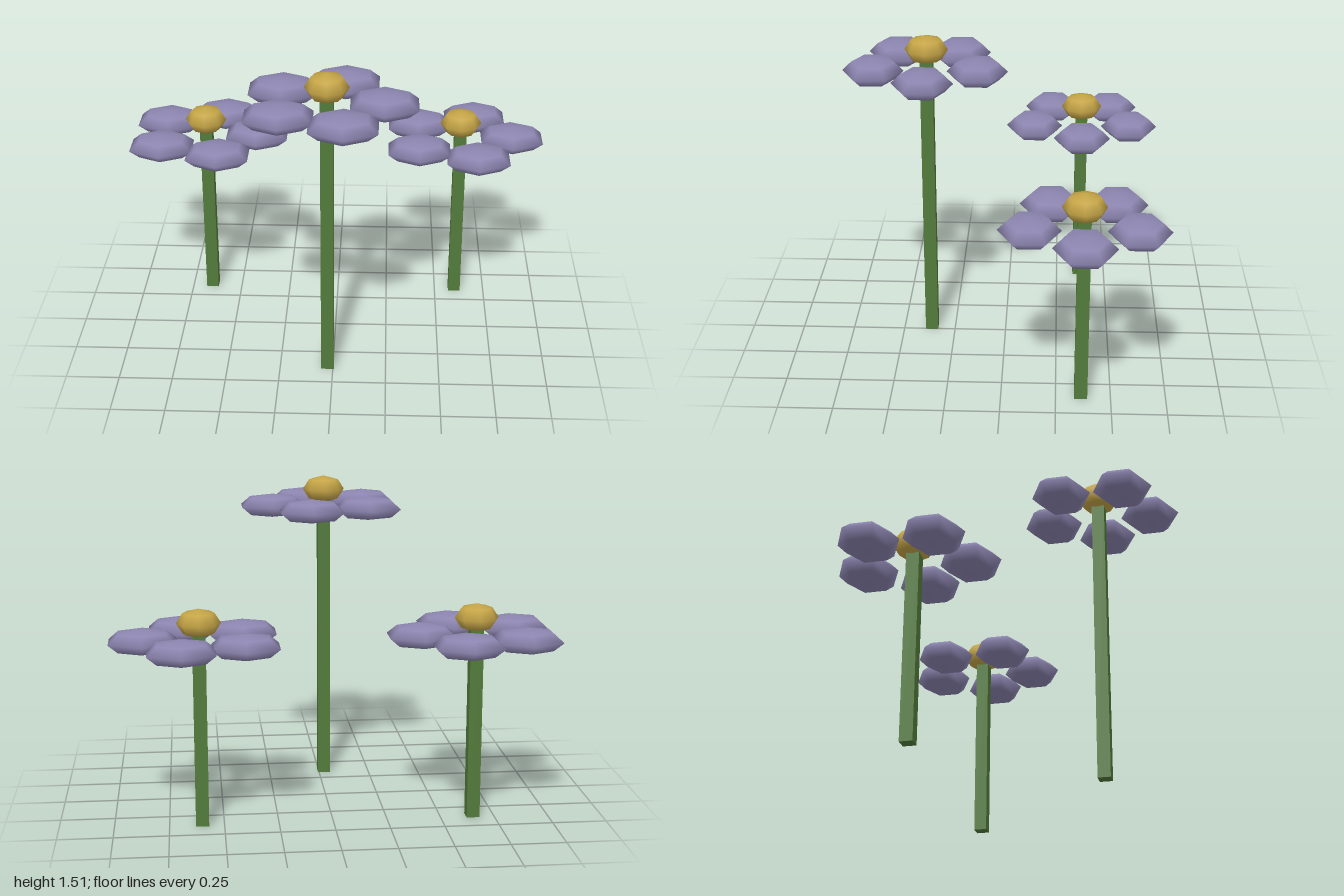
import * as THREE from 'three';

const material = (name, color) => {
  const m = new THREE.MeshStandardMaterial({ color });
  m.name = name;
  return m;
};

export function createModel() {
  const green = material('stem green', 0x527a3b);
  const violet = material('petal violet', 0x8c85b0);
  const yellow = material('centre yellow', 0xc4a446);

  // Flattened six-sided petal with its points along z, and an eight-sided centre
  const petalGeometry = new THREE.SphereGeometry(1, 6, 4).rotateY(Math.PI / 2).scale(0.172, 0.057, 0.14);
  const centreGeometry = new THREE.SphereGeometry(1, 8, 4).scale(0.1, 0.065, 0.1);

  const add = (parent, name, geometry, mat, x, y, z) => {
    const mesh = new THREE.Mesh(geometry, mat);
    mesh.name = name;
    mesh.position.set(x, y, z);
    parent.add(mesh);
  };

  // One flower; height is the level of its petals
  const makeFlower = (name, x, z, height) => {
    const flower = new THREE.Group();
    flower.name = name;
    flower.position.set(x, 0, z);
    const stemHeight = height + 0.037;
    add(flower, 'stem', new THREE.BoxGeometry(0.06, stemHeight, 0.06), green, 0, stemHeight / 2, 0);
    add(flower, 'flowerCentre', centreGeometry, yellow, 0, height + 0.078, 0);

    // Five petals in a ring, all facing the same way
    for (let i = 0; i < 5; i++) {
      const a = (i / 5) * Math.PI * 2;
      add(flower, 'petal', petalGeometry, violet, 0.25 * Math.cos(a), height, 0.25 * Math.sin(a));
    }
    return flower;
  };

  const model = new THREE.Group();
  model.name = 'flowers';
  model.add(
    makeFlower('tallFrontFlower', -0.025, 0.364, 1.363),
    makeFlower('rightBackFlower', -0.65, -0.364, 0.865),
    makeFlower('leftBackFlower', 0.6, -0.364, 0.865)
  );
  return model;
}
